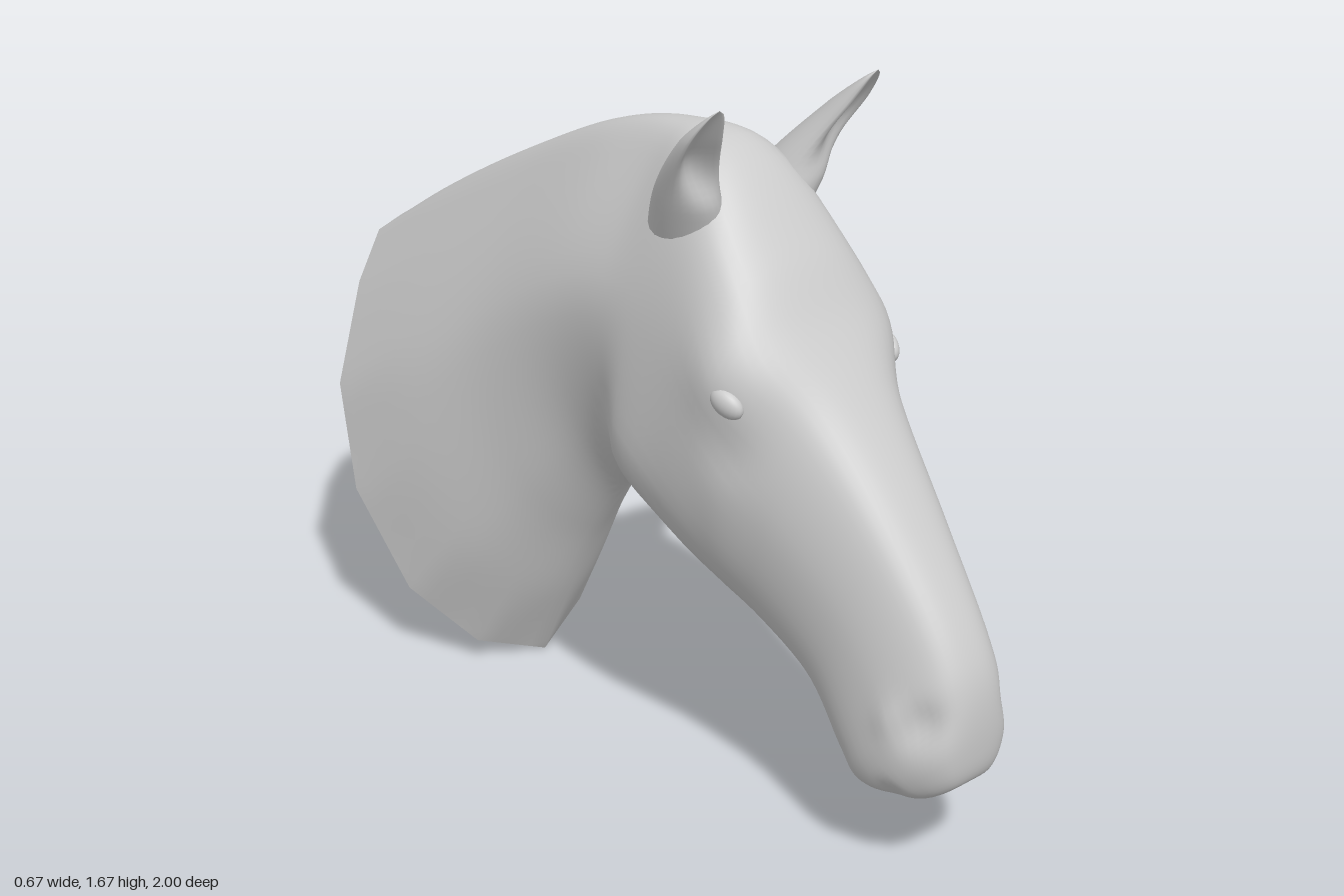
import * as THREE from 'three';

const V = (x, y, z) => new THREE.Vector3(x, y, z);
const material = new THREE.MeshStandardMaterial({ color: 0xcccccc });
const flatMaterial = new THREE.MeshStandardMaterial({ color: 0xcccccc, flatShading: true });

const AROUND = 56, ALONG = 96, FACET = 4;

// Sections: top z, top y, bottom z, bottom y, half-widths at crest, middle and underside
const DEPTHS = [0.08, 0.42, 0.82];
const SECTIONS = [
  [-1, 1.04, -0.46, 0, 0.14, 0.325, 0.27],       // neck base
  [-0.75, 1.19, -0.36, 0.2, 0.11, 0.285, 0.24],
  [-0.45, 1.35, -0.24, 0.43, 0.09, 0.24, 0.19],
  [-0.15, 1.485, -0.12, 0.59, 0.085, 0.222, 0.15],
  [0.06, 1.535, -0.02, 0.64, 0.09, 0.222, 0.16], // throat
  [0.23, 1.525, 0.05, 0.63, 0.14, 0.23, 0.21],   // poll and jaw
  [0.42, 1.33, 0.22, 0.535, 0.19, 0.255, 0.21],  // brow
  [0.52, 1.18, 0.32, 0.48, 0.185, 0.245, 0.18],  // eyes
  [0.62, 1.05, 0.42, 0.43, 0.14, 0.2, 0.15],
  [0.8, 0.82, 0.57, 0.345, 0.105, 0.158, 0.13],
  [0.95, 0.6, 0.67, 0.23, 0.09, 0.148, 0.135],
  [0.99, 0.5, 0.72, 0.185, 0.09, 0.152, 0.135],  // muzzle
  [1, 0.37, 0.81, 0.195, 0.09, 0.13, 0.12],
  [0.985, 0.28, 0.9, 0.215, 0.055, 0.08, 0.07],
  [0.945, 0.245, 0.944, 0.244, 0, 0, 0],         // lips
];

// Sideways swellings (+) and hollows (-): y, z, radius, amount
const BUMPS = [
  [1.11, 0.45, 0.1, 0.028],    // eye socket
  [0.93, 0.46, 0.06, -0.01],   // hollow below the eye
  [0.43, 0.93, 0.045, -0.02],  // nostril
  [0.43, 0.87, 0.04, 0.01],    // nostril rim
  [0.78, 0.1, 0.12, 0.015],    // cheek
  [0.24, 0.86, 0.03, -0.012],  // mouth
];

// One closed ring: crest, left side, underside, right side
function sectionRing([tz, ty, bz, by, ...widths], i) {
  const top = V(0, ty, tz), bottom = V(0, by, bz);
  const rear = V(0, tz - bz, by - ty).normalize();
  const bow = 0.09 * Math.max(0, 1 - i / 2.5); // the cut of the neck curves backwards
  const left = DEPTHS.map((t, k) =>
    top.clone().lerp(bottom, t).addScaledVector(rear, bow * 4 * t * (1 - t)).setX(widths[k]));
  const right = left.map((p) => V(-p.x, p.y, p.z)).reverse();
  const curve = new THREE.CatmullRomCurve3([top, ...left, bottom, ...right], true, 'catmullrom', 0.5);
  return Array.from({ length: AROUND }, (_, j) => curve.getPoint(j / AROUND));
}

// Smooth skin through closed rings of equal length
function loft(rings) {
  const n = rings[0].length, index = [];
  for (let i = 0; i < rings.length - 1; i++) {
    for (let j = 0; j < n; j++) {
      const k = (j + 1) % n;
      const a = i * n + j, b = a + n, c = i * n + k, d = c + n;
      index.push(a, b, c, b, d, c);
    }
  }
  const geometry = new THREE.BufferGeometry().setFromPoints(rings.flat());
  geometry.setIndex(index);
  geometry.computeVertexNormals();
  return geometry;
}

// Rings from neck base to lips, smoothed lengthwise and modelled with the bumps
function headRings() {
  const keys = SECTIONS.map(sectionRing);
  // straighten the rim of the neck into facets
  keys[0] = keys[0].map((_, j, rim) => {
    const start = j - (j % FACET);
    return rim[start].clone().lerp(rim[(start + FACET) % AROUND], (j % FACET) / FACET);
  });
  const columns = keys[0].map((_, j) => new THREE.CatmullRomCurve3(keys.map((ring) => ring[j])));
  return Array.from({ length: ALONG + 1 }, (_, i) => columns.map((column) => {
    const p = column.getPoint(i / ALONG);
    const side = THREE.MathUtils.clamp(p.x / 0.08, -1, 1);
    for (const [y, z, r, amount] of BUMPS) {
      p.x += side * amount * Math.exp(-((p.y - y) ** 2 + (p.z - z) ** 2) / (r * r));
    }
    return p;
  }));
}

// Faceted, slightly bulging cap over the cut of the neck
function capGeometry(rim) {
  const centre = V(0, 0.45, -0.87), corners = [];
  const outer = rim.filter((_, i) => i % FACET === 0);
  const inner = outer.map((p) => p.clone().lerp(centre, 0.5).add(V(0, -0.02, -0.035)));
  outer.forEach((p, i) => {
    const k = (i + 1) % outer.length;
    corners.push(p, outer[k], inner[i], outer[k], inner[k], inner[i], inner[i], inner[k], centre);
  });
  const geometry = new THREE.BufferGeometry().setFromPoints(corners);
  geometry.computeVertexNormals();
  return geometry;
}

// Pointed ear with a hollow front, rooted in the head; side is 1 for left, -1 for right
function earGeometry(side) {
  const rows = 24, around = 24;
  const path = new THREE.CatmullRomCurve3([
    V(0.1, 1.3, 0.19), V(0.165, 1.45, 0.255), V(0.218, 1.59, 0.355), V(0.23, 1.672, 0.422),
  ]);
  return loft(Array.from({ length: rows + 1 }, (_, i) => {
    const u = i / rows, c = path.getPoint(u);
    const rx = 0.078 * Math.sqrt(1 - u), rz = 0.11 * (1 - u) ** 0.8;
    const hollow = 1.1 * THREE.MathUtils.smoothstep(u, 0.25, 0.6);
    return Array.from({ length: around }, (_, j) => {
      const a = -(j / around) * Math.PI * 2;
      const front = Math.max(0, Math.cos(a - side * 0.25)) ** 3;
      return V(side * c.x + Math.sin(a) * rx, c.y, c.z + (Math.cos(a) - front * hollow) * rz);
    });
  }));
}

export function createModel() {
  const model = new THREE.Group();
  model.name = 'horseHead';
  const add = (name, geometry, mat = material) => {
    const mesh = new THREE.Mesh(geometry, mat);
    mesh.name = name;
    model.add(mesh);
    return mesh;
  };

  const rings = headRings();
  add('headAndNeck', loft(rings));
  add('neckCap', capGeometry(rings[0]), flatMaterial);

  // Ears, and eyes set into the sockets
  const eyeShape = new THREE.SphereGeometry(1, 20, 14).scale(0.022, 0.03, 0.042);
  for (const side of [1, -1]) {
    const name = side > 0 ? 'left' : 'right';
    add(name + 'Ear', earGeometry(side));
    const eye = add(name + 'Eye', eyeShape);
    eye.position.set(side * 0.243, 1.05, 0.465);
    eye.rotation.set(0.5, -side * 0.25, 0);
  }
  return model;
}
